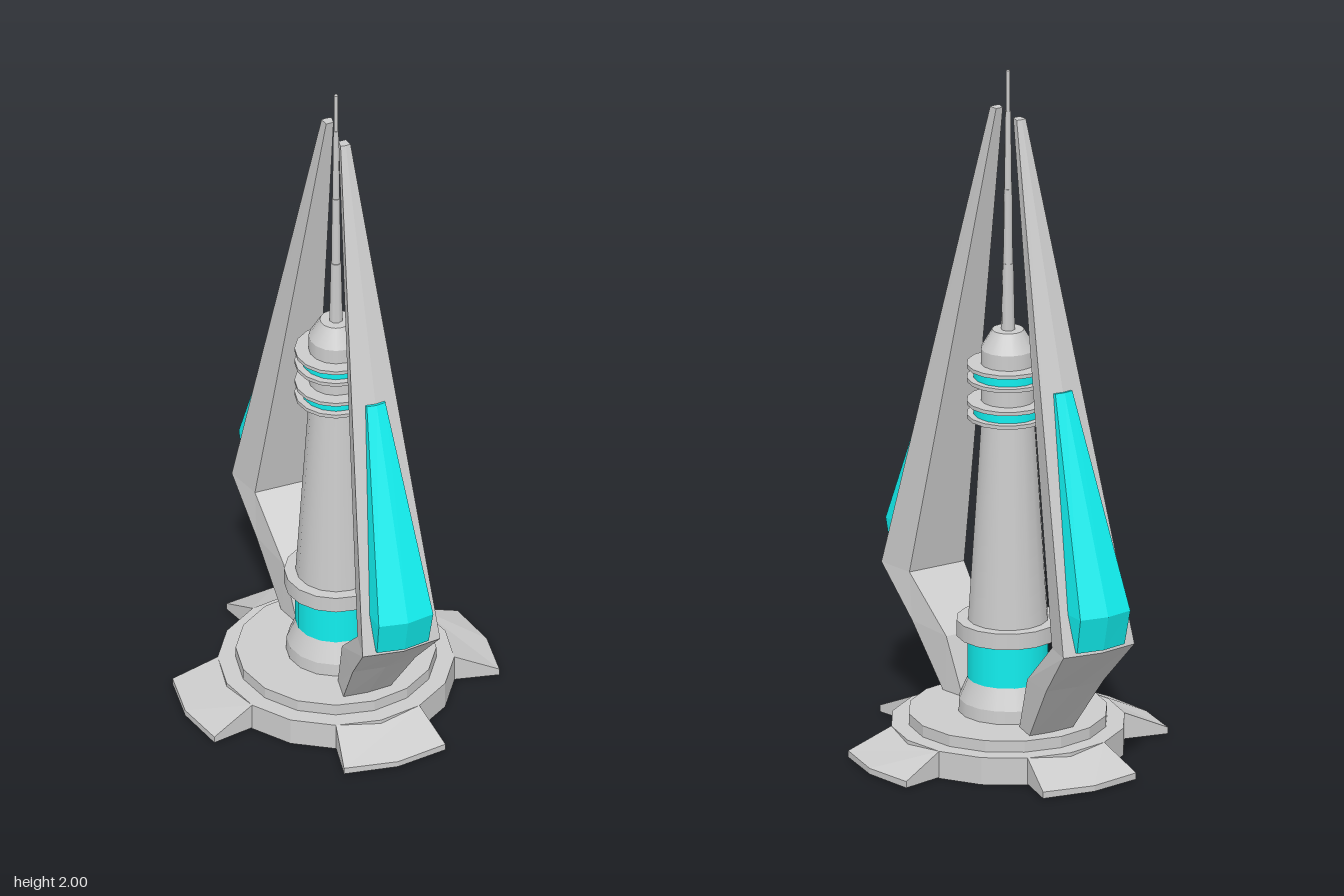
import * as THREE from 'three';

const SIDES = 16;
const material = (color, flatShading = false) => new THREE.MeshStandardMaterial({ color, flatShading });
const grey = material(0xcccccc);
const greyFlat = material(0xcccccc, true);
const cyan = material(0x11eeee);
const cyanFlat = material(0x11eeee, true);

function add(parent, name, geometry, mat) {
  const mesh = new THREE.Mesh(geometry, mat);
  mesh.name = name;
  parent.add(mesh);
  return mesh;
}

// Upright round section between two heights
function drum(parent, name, y0, y1, rBottom, rTop, mat = grey, sides = SIDES) {
  const mesh = add(parent, name, new THREE.CylinderGeometry(rTop, rBottom, y1 - y0, sides), mat);
  mesh.position.y = (y0 + y1) / 2;
  return mesh;
}

// Closed faceted solid through rings of [x, y, z] points, counter-clockwise from above
function loft(rings) {
  const pos = [];
  const tri = (a, b, c) => pos.push(...a, ...b, ...c);
  const n = rings[0].length;
  for (let i = 0; i < rings.length - 1; i++) {
    for (let j = 0; j < n; j++) {
      const k = (j + 1) % n;
      tri(rings[i][j], rings[i][k], rings[i + 1][k]);
      tri(rings[i][j], rings[i + 1][k], rings[i + 1][j]);
    }
  }
  const bottom = rings[0], top = rings[rings.length - 1];
  for (let j = 1; j < n - 1; j++) {
    tri(bottom[0], bottom[j + 1], bottom[j]);
    tri(top[0], top[j], top[j + 1]);
  }
  const geometry = new THREE.BufferGeometry();
  geometry.setAttribute('position', new THREE.Float32BufferAttribute(pos, 3));
  geometry.computeVertexNormals();
  return geometry;
}

// Arm cross-section: narrower inner face, slightly ridged outer face
const section = ({ yi, zi, wi, yo, zo, wo, ridge }) => [
  [wi, yi, zi], [-wi, yi, zi],
  [-wo, yo, zo - ridge], [0, yo, zo], [wo, yo, zo - ridge],
];

function createArm() {
  const arm = new THREE.Group();
  const beam = [
    { yi: 0.1, zi: 0.145, wi: 0.055, yo: 0.1, zo: 0.225, wo: 0.07, ridge: 0.006 },
    { yi: 0.275, zi: 0.213, wi: 0.07, yo: 0.285, zo: 0.365, wo: 0.095, ridge: 0.012 },
    { yi: 0.42, zi: 0.375, wi: 0.09, yo: 0.425, zo: 0.497, wo: 0.117, ridge: 0.018 },
    { yi: 1.875, zi: 0.045, wi: 0.011, yo: 1.875, zo: 0.072, wo: 0.015, ridge: 0.002 },
  ];
  add(arm, 'armBeam', loft(beam.map(section)), greyFlat);
  // Glowing panel on the outer face
  const panel = [
    { yi: 0.44, zi: 0.45, wi: 0.08, yo: 0.435, zo: 0.503, wo: 0.078, ridge: 0.014 },
    { yi: 0.54, zi: 0.425, wi: 0.085, yo: 0.54, zo: 0.528, wo: 0.082, ridge: 0.015 },
    { yi: 1.13, zi: 0.26, wi: 0.03, yo: 1.135, zo: 0.298, wo: 0.028, ridge: 0.004 },
  ];
  add(arm, 'armPanel', loft(panel.map(section)), cyanFlat);
  return arm;
}

// Sloping foot reaching out along +z
function footGeometry() {
  const outline = [[0.126, 0.305, 0.08], [-0.126, 0.305, 0.08], [-0.153, 0.43, 0.022],
    [0, 0.455, 0.02], [0.153, 0.43, 0.022]];
  return loft([
    outline.map(([x, z]) => [x, 0.003, z]),
    outline.map(([x, z, y]) => [x, y, z]),
  ]);
}

export function createModel() {
  const model = new THREE.Group();
  model.name = 'beaconTower';

  // Base
  const base = new THREE.Group();
  base.name = 'base';
  model.add(base);
  drum(base, 'basePlate', 0, 0.08, 0.33, 0.33, greyFlat);
  drum(base, 'baseDeck', 0.08, 0.113, 0.28, 0.28, greyFlat);
  for (let i = 0; i < 4; i++) {
    add(base, `foot${i + 1}`, footGeometry(), greyFlat).rotation.y = i * Math.PI / 2;
  }

  // Central column
  const column = new THREE.Group();
  column.name = 'column';
  model.add(column);
  drum(column, 'columnFoot', 0.11, 0.15, 0.14, 0.138);
  drum(column, 'columnFootTaper', 0.15, 0.21, 0.138, 0.112);
  drum(column, 'lowerLightBand', 0.21, 0.335, 0.114, 0.114, cyan);
  drum(column, 'collar', 0.335, 0.382, 0.145, 0.145);
  drum(column, 'shaft', 0.382, 0.98, 0.113, 0.075);
  drum(column, 'neck', 0.98, 1.18, 0.077, 0.077);
  drum(column, 'cap', 1.18, 1.235, 0.077, 0.045);
  // Two light bands, each held between thin discs
  for (const y of [0.977, 1.085]) {
    drum(column, 'lowerDisc', y, y + 0.011, 0.116, 0.116);
    drum(column, 'lightBand', y + 0.011, y + 0.04, 0.097, 0.097, cyan);
    drum(column, 'upperDisc', y + 0.04, y + 0.051, 0.116, 0.116);
  }

  // Stepped antenna
  const antenna = [[1.235, 1.43, 0.02, 0.016], [1.43, 1.65, 0.014, 0.012],
    [1.65, 1.88, 0.011, 0.008], [1.88, 2, 0.006, 0.006]];
  antenna.forEach(([y0, y1, r0, r1], i) => drum(model, `antenna${i + 1}`, y0, y1, r0, r1, grey, 8));

  // Front and back arms
  ['frontArm', 'backArm'].forEach((name, i) => {
    const arm = createArm();
    arm.name = name;
    arm.rotation.y = i * Math.PI;
    model.add(arm);
  });

  return model;
}
